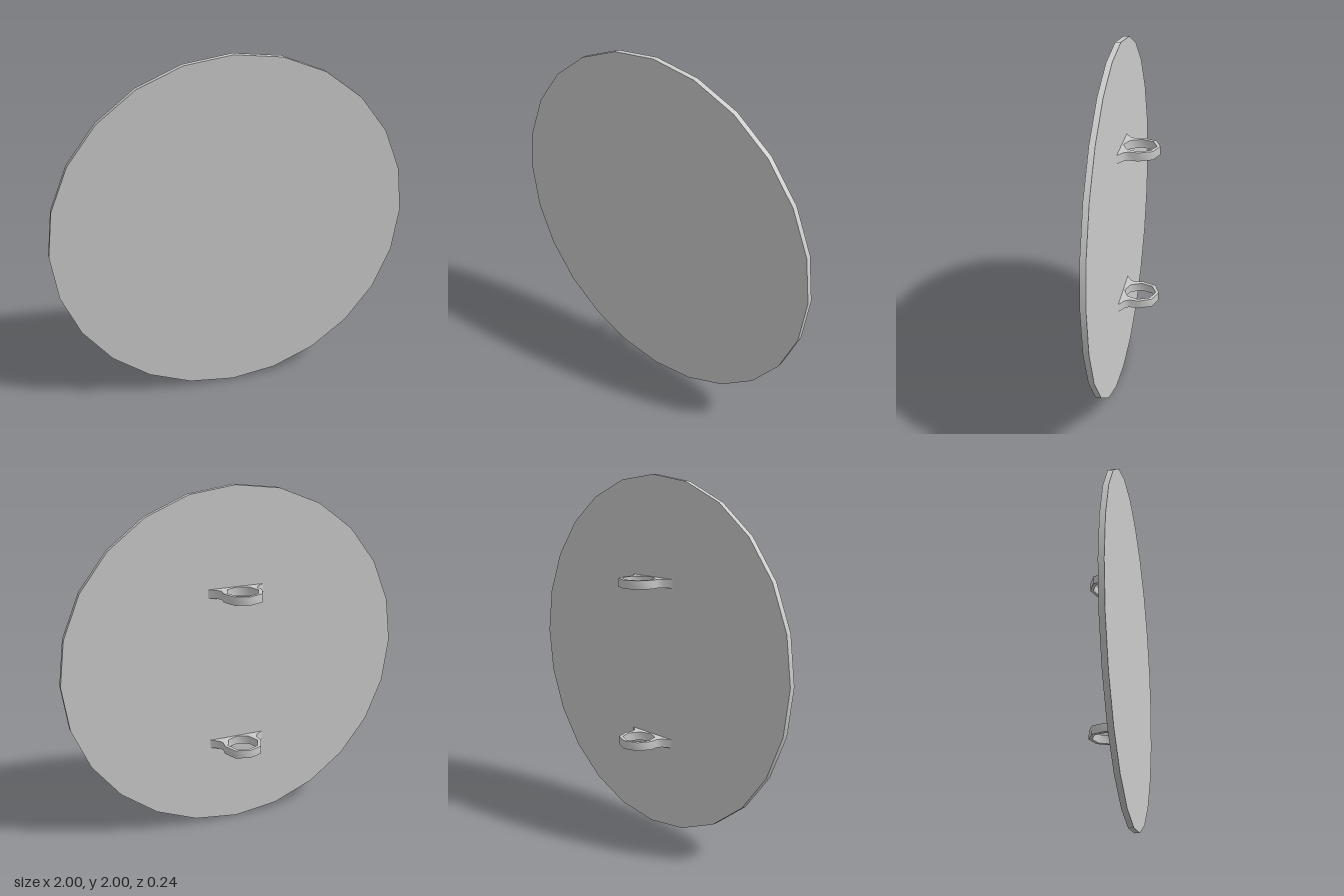
import * as THREE from 'three';
import { toCreasedNormals } from 'three/addons/utils/BufferGeometryUtils.js';

const material = new THREE.MeshStandardMaterial({ color: 0xcccccc });

// Round flat plate standing upright, facing +z
function createPlate() {
  const geometry = new THREE.CylinderGeometry(1, 1, 0.03, 24);
  geometry.rotateX(Math.PI / 2);
  const plate = new THREE.Mesh(geometry, material);
  plate.name = 'plate';
  plate.position.set(0, 1, 0.104);
  return plate;
}

// Octagonal loop with flared feet; the profile lies in x and z
function createClipGeometry(height) {
  const half = [[0.165, 0.09], [0.12, 0.06], [0.105, 0.035], [0.112, -0.015], [0.08, -0.09]];
  const mirrored = half.map(([x, z]) => [-x, z]).reverse();
  const outline = [...half, [0, -0.12], ...mirrored].map(([x, z]) => new THREE.Vector2(x, z));
  const shape = new THREE.Shape(outline);

  const hole = [];
  for (let i = 0; i < 8; i++) {
    const a = (i * Math.PI) / 4;
    hole.push(new THREE.Vector2(Math.sin(a) * 0.091, -0.011 - Math.cos(a) * 0.091));
  }
  shape.holes.push(new THREE.Path(hole));

  const geometry = new THREE.ExtrudeGeometry(shape, { depth: height, bevelEnabled: false });
  geometry.translate(0, 0, -height / 2);
  geometry.rotateX(Math.PI / 2);
  return toCreasedNormals(geometry, 0.9);
}

export function createModel() {
  const model = new THREE.Group();
  model.name = 'roundSignPlate';
  model.add(createPlate());

  // Two matching pole clips on the back
  const clipGeometry = createClipGeometry(0.048);
  for (const [name, y] of [['upperClip', 1.419], ['lowerClip', 0.511]]) {
    const clip = new THREE.Mesh(clipGeometry, material);
    clip.name = name;
    clip.position.y = y;
    model.add(clip);
  }
  return model;
}
